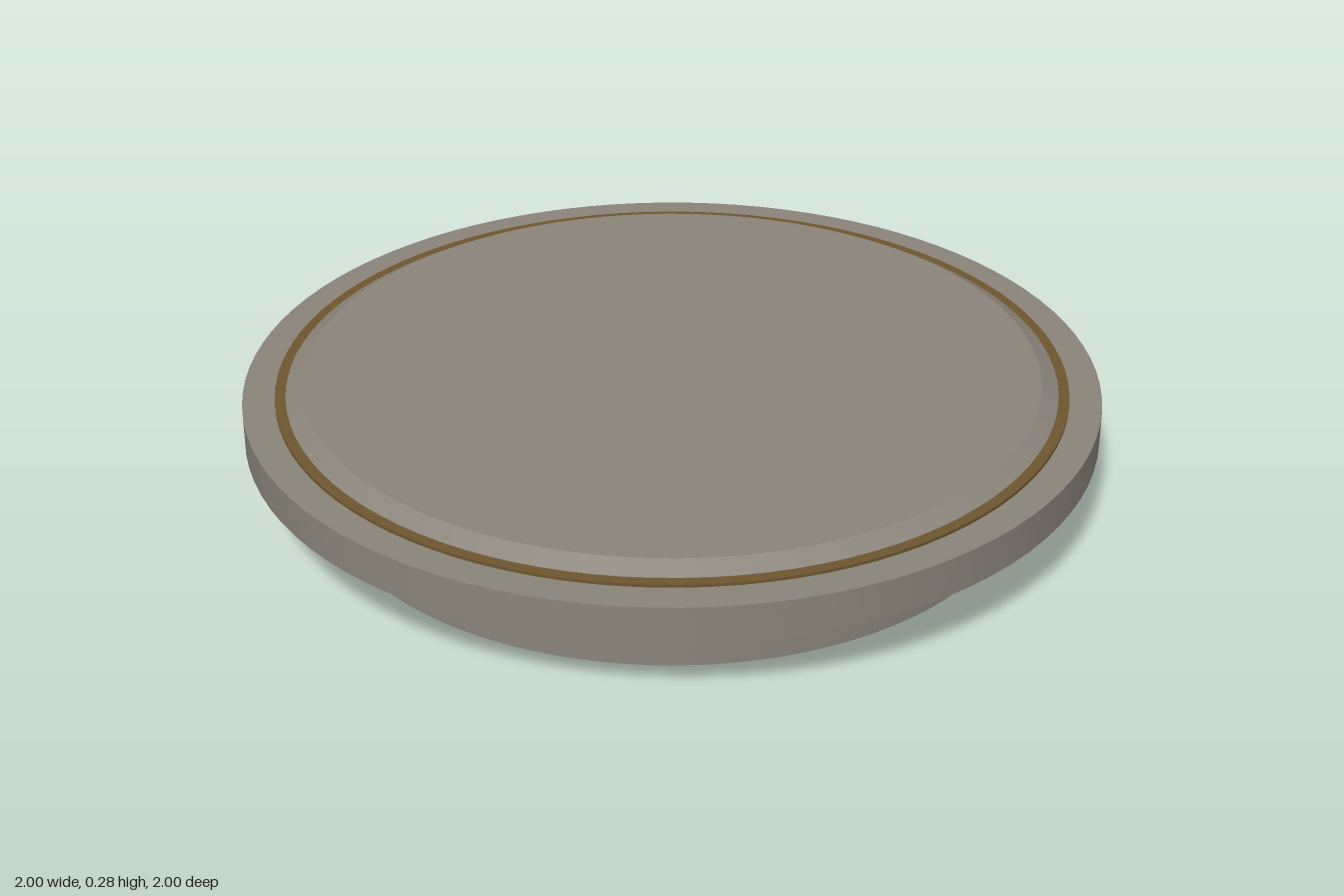
import * as THREE from 'three';
import { toCreasedNormals } from 'three/addons/utils/BufferGeometryUtils.js';

export function createModel() {
  const model = new THREE.Group();
  const stone = new THREE.MeshStandardMaterial({ color: 0x8a847a });
  const bronze = new THREE.MeshStandardMaterial({ color: 0x6e5630 });
  stone.name = 'stone';
  bronze.name = 'bronze';

  // Turned part from a [radius, height] profile, listed from the bottom outwards and up
  function turned(name, profile, material) {
    const points = profile.map(([r, y]) => new THREE.Vector2(r, y));
    const geometry = toCreasedNormals(new THREE.LatheGeometry(points, 96), 0.3);
    const mesh = new THREE.Mesh(geometry, material);
    mesh.name = name;
    model.add(mesh);
  }

  // Foot with a shallow round recess underneath
  turned('foot', [[0, 0.06], [0.59, 0.06], [0.59, 0], [0.83, 0], [0.83, 0.088], [0.82, 0.098], [0.78, 0.1]], stone);

  // Recessed bronze neck
  turned('neck', [[0.785, 0.095], [0.785, 0.155]], bronze);

  // Broad plate with a gently sloping underside
  turned('plate', [[0.78, 0.15], [1, 0.165], [1, 0.255], [0.89, 0.255]], stone);

  // Bronze inlay ring, barely proud of the plate
  turned('inlayRing', [[0.925, 0.25], [0.925, 0.262], [0.89, 0.262]], bronze);

  // Raised top with a bevelled edge
  turned('top', [[0.9, 0.255], [0.9, 0.263], [0.86, 0.285], [0, 0.285]], stone);

  return model;
}
